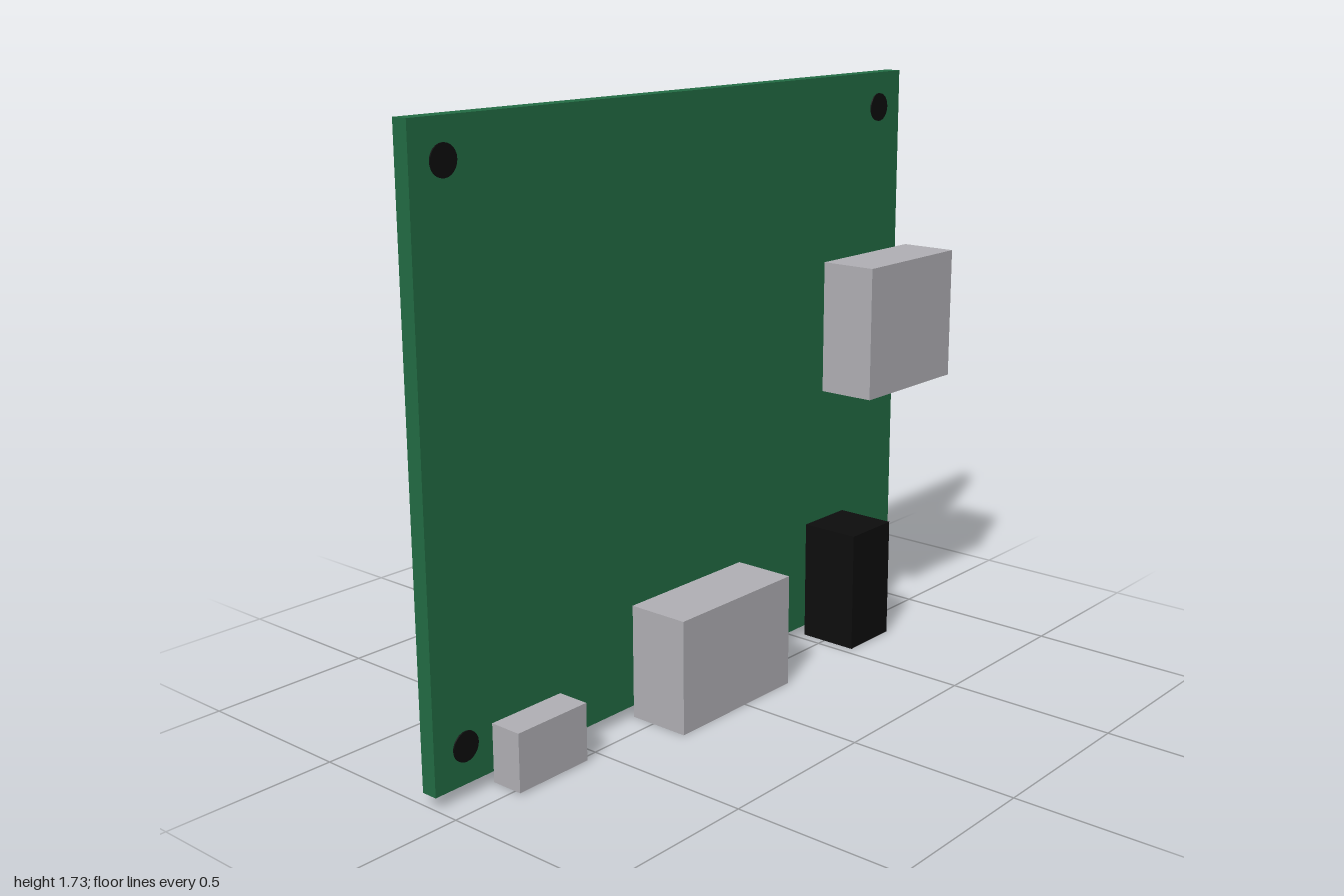
import * as THREE from 'three';

const material = (name, color) => {
  const m = new THREE.MeshStandardMaterial({ color });
  m.name = name;
  return m;
};

export function createModel() {
  const green = material('boardGreen', 0x226b43);
  const metal = material('connectorGrey', 0xb0afb4);
  const black = material('black', 0x0d0d0d);
  const group = new THREE.Group();
  group.name = 'circuitBoard';

  // Box given by its lower and upper corners
  const block = (name, mat, [x0, y0, z0], [x1, y1, z1]) => {
    const mesh = new THREE.Mesh(new THREE.BoxGeometry(x1 - x0, y1 - y0, z1 - z0), mat);
    mesh.position.set((x0 + x1) / 2, (y0 + y1) / 2, (z0 + z1) / 2);
    mesh.name = name;
    group.add(mesh);
  };

  // Board
  const face = -0.073;
  block('board', green, [-1, 0.035, -0.121], [0.969, 1.73, face]);

  // Connectors along the lower edge and the left side
  block('powerSocket', metal, [-0.802, 0.004, face], [-0.555, 0.17, 0.024]);
  block('videoSocket', metal, [-0.267, 0, face], [0.199, 0.334, 0.114]);
  block('audioJack', black, [0.524, 0.003, face], [0.712, 0.368, 0.109]);
  block('sidePort', metal, [0.573, 0.788, -0.054], [1, 1.186, 0.121]);

  // Mounting holes as thin dark discs on the front face
  const disc = new THREE.CylinderGeometry(0.042, 0.042, 0.006, 24);
  disc.rotateX(Math.PI / 2);
  for (const x of [-0.895, 0.861]) {
    for (const y of [0.14, 1.625]) {
      const hole = new THREE.Mesh(disc, black);
      hole.position.set(x, y, face + 0.001);
      hole.name = 'mountingHole';
      group.add(hole);
    }
  }
  return group;
}
